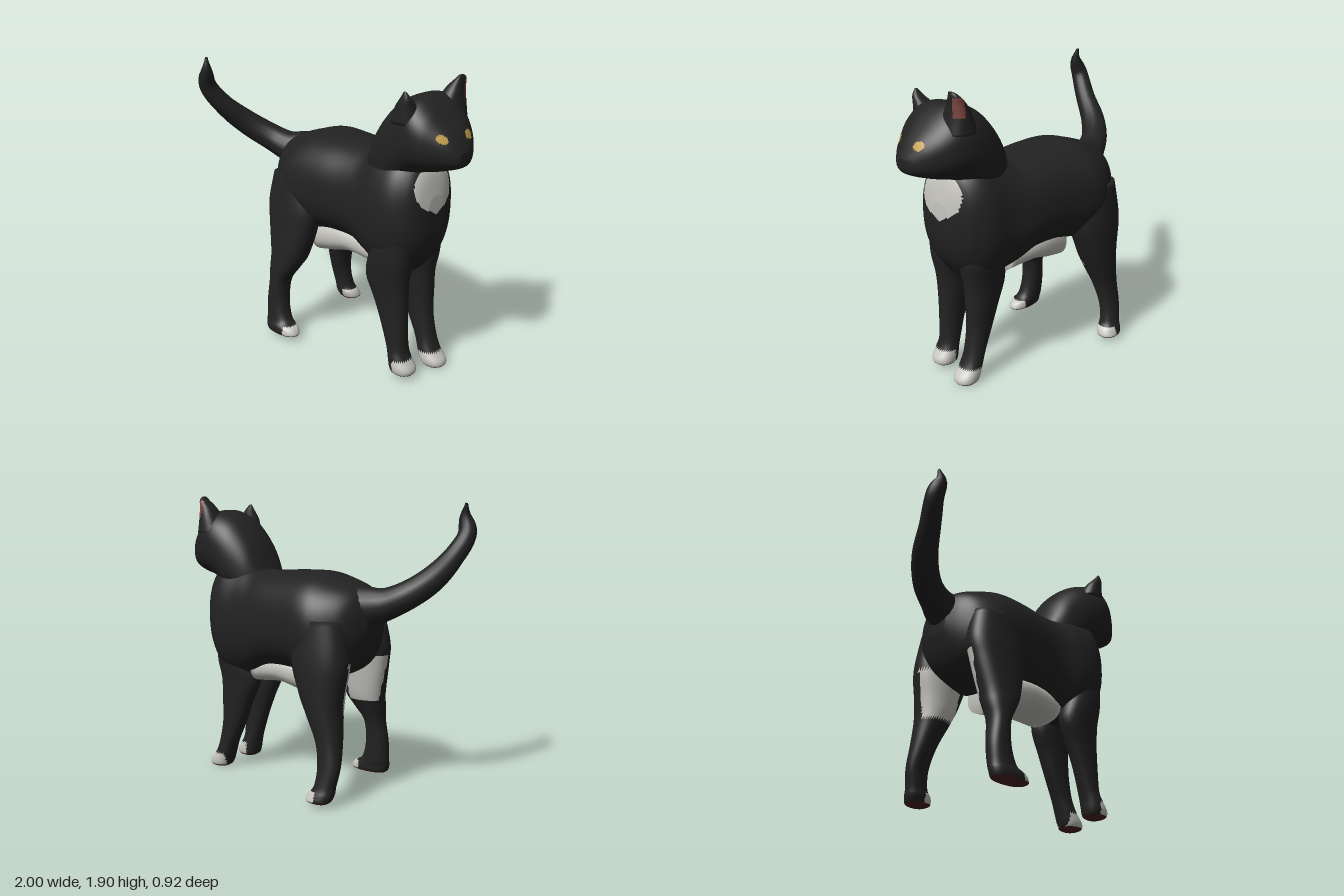
import * as THREE from 'three';

const mat = (name, color) => {
  const m = new THREE.MeshStandardMaterial({ color });
  m.name = name;
  return m;
};

// Catmull-Rom blend of the rows of a section table, at row position t
function rowAt(rows, t) {
  const i = Math.min(Math.floor(t), rows.length - 2), f = t - i;
  const at = k => rows[Math.max(0, Math.min(rows.length - 1, k))];
  const [a, b, c, d] = [at(i - 1), at(i), at(i + 1), at(i + 2)];
  return b.map((_, k) => 0.5 * (2 * b[k] + (c[k] - a[k]) * f
    + (2 * a[k] - 5 * b[k] + 4 * c[k] - d[k]) * f * f
    + (3 * b[k] - a[k] - 3 * c[k] + d[k]) * f * f * f));
}

// Skin over rounded sections along x: [x, y0, y1, z0, z1] or y: [y, x0, x1, z0, z1], ascending.
// paint(x, y, z) gives the index of the material for each face.
function loft(name, rows, axis, materials, paint = () => 0, { around = 32, steps = 4, power = 2.3 } = {}) {
  const pos = [], n = (rows.length - 1) * steps;
  const put = (s, p, z) => (axis === 'x' ? pos.push(s, p, z) : pos.push(p, s, z));
  const round = v => Math.sign(v) * Math.abs(v) ** (2 / power);
  for (let i = 0; i <= n; i++) {
    const [s, p0, p1, z0, z1] = rowAt(rows, i / steps);
    for (let j = 0; j < around; j++) {
      const t = j / around * Math.PI * 2;
      const c = round(Math.cos(t)), d = round(Math.sin(t));
      const [u, v] = axis === 'x' ? [d, c] : [c, d];
      put(s, (p0 + p1) / 2 + u * (p1 - p0) / 2, (z0 + z1) / 2 + v * (z1 - z0) / 2);
    }
  }
  const ends = [rows[0], rows[rows.length - 1]];
  ends.forEach(([s, p0, p1, z0, z1]) => put(s, (p0 + p1) / 2, (z0 + z1) / 2));

  const lists = materials.map(() => []);
  const face = (...f) => {
    const mid = k => f.reduce((sum, q) => sum + pos[q * 3 + k], 0) / 3;
    lists[paint(mid(0), mid(1), mid(2))].push(...f);
  };
  const first = (n + 1) * around, last = n * around;
  for (let j = 0; j < around; j++) {
    const k = (j + 1) % around;
    for (let i = 0; i < n; i++) {
      const a = i * around + j, b = i * around + k;
      face(a, a + around, b);
      face(b, a + around, b + around);
    }
    face(first, j, k);
    face(first + 1, last + k, last + j);
  }
  const g = new THREE.BufferGeometry();
  g.setAttribute('position', new THREE.Float32BufferAttribute(pos, 3));
  g.setIndex(lists.flat());
  let start = 0;
  lists.forEach((l, m) => {
    if (l.length) g.addGroup(start, l.length, m);
    start += l.length;
  });
  g.computeVertexNormals();
  const mesh = new THREE.Mesh(g, materials);
  mesh.name = name;
  return mesh;
}

export function createModel() {
  const black = mat('black fur', 0x222222), white = mat('white fur', 0xc6c5bf);
  const amber = mat('amber eye', 0xc09a45), pad = mat('paw pad', 0x4a2222), pink = mat('inner ear', 0x7a423c);
  const cat = new THREE.Group();
  cat.name = 'cat';
  const inOval = (z, y, cz, cy, rz, ry) => ((z - cz) / rz) ** 2 + ((y - cy) / ry) ** 2 < 1;
  const bib = (x, y, z) => x > 0.58 && y < 1.37 && inOval(z, y, 0.055, 1.25, 0.165, 0.14);

  // Torso from rump to chest
  cat.add(loft('body', [
    [-0.54, 1.04, 1.19, -0.13, 0.03], [-0.5, 0.92, 1.3, -0.23, 0.14], [-0.43, 0.82, 1.355, -0.32, 0.24],
    [-0.3, 0.76, 1.4, -0.39, 0.31], [-0.18, 0.75, 1.43, -0.4, 0.32], [0, 0.78, 1.43, -0.36, 0.31],
    [0.2, 0.77, 1.42, -0.32, 0.29], [0.33, 0.71, 1.42, -0.29, 0.3], [0.45, 0.67, 1.46, -0.26, 0.33],
    [0.6, 0.67, 1.48, -0.24, 0.33], [0.7, 0.77, 1.43, -0.18, 0.28], [0.75, 0.87, 1.34, -0.1, 0.22],
    [0.775, 0.97, 1.2, -0.02, 0.13],
  ], 'x', [black, white], (x, y, z) => (bib(x, y, z) ? 1 : 0), { around: 72, steps: 6 }));

  // Pale hanging belly
  cat.add(loft('belly', [
    [-0.16, 0.6, 0.85, -0.16, 0.18], [0, 0.635, 0.88, -0.19, 0.19],
    [0.15, 0.67, 0.88, -0.19, 0.19], [0.37, 0.65, 0.85, -0.15, 0.18],
  ], 'x', [white]));

  // Neck and head with painted eyes
  const eye = (x, y, z) => x > 0.8
    && (inOval(z, y, 0.21, 1.6, 0.027, 0.025) || inOval(z, y, 0.008, 1.6, 0.036, 0.026));
  cat.add(loft('head', [
    [0.32, 1.2, 1.41, -0.09, 0.18], [0.41, 1.15, 1.6, -0.16, 0.24], [0.53, 1.2, 1.74, -0.2, 0.28],
    [0.64, 1.3, 1.8, -0.21, 0.3], [0.73, 1.35, 1.81, -0.2, 0.31], [0.81, 1.37, 1.76, -0.17, 0.295],
    [0.88, 1.39, 1.69, -0.12, 0.255], [0.94, 1.41, 1.62, -0.055, 0.21], [0.98, 1.43, 1.55, 0.01, 0.17],
    [0.995, 1.46, 1.52, 0.06, 0.14],
  ], 'x', [black, white, amber], (x, y, z) => (eye(x, y, z) ? 2 : bib(x, y, z) ? 1 : 0),
  { around: 100, steps: 8, power: 2.4 }));

  // Ears, the right one showing its lining
  cat.add(loft('leftEar', [
    [1.66, 0.58, 0.77, 0.12, 0.31], [1.75, 0.62, 0.75, 0.19, 0.31],
    [1.81, 0.67, 0.74, 0.25, 0.305], [1.85, 0.7, 0.715, 0.285, 0.295],
  ], 'y', [black]));
  cat.add(loft('rightEar', [
    [1.66, 0.62, 0.83, -0.2, 0.02], [1.76, 0.67, 0.81, -0.19, -0.01],
    [1.83, 0.71, 0.805, -0.175, -0.05], [1.88, 0.76, 0.805, -0.16, -0.08], [1.902, 0.785, 0.8, -0.13, -0.09],
  ], 'y', [black, pink], (x, y, z) => (y > 1.76 && y < 1.875 && x > 0.755 && z < -0.13 ? 1 : 0), { steps: 6 }));

  // Front legs: same sections, the right one set a little forward and lower
  const frontLeg = (name, dx, dz, ground) => cat.add(loft(name, [
    [ground, 0.6, 0.71, 0.135, 0.24], [ground + 0.015, 0.58, 0.735, 0.115, 0.26],
    [ground + 0.05, 0.57, 0.735, 0.11, 0.27], [ground + 0.11, 0.56, 0.695, 0.115, 0.265],
    [0.2, 0.54, 0.675, 0.12, 0.255], [0.35, 0.49, 0.67, 0.12, 0.26], [0.5, 0.43, 0.67, 0.11, 0.27],
    [0.65, 0.37, 0.675, 0.1, 0.29], [0.8, 0.4, 0.7, 0.08, 0.31], [1, 0.45, 0.7, 0.09, 0.31],
  ].map(([y, x0, x1, z0, z1]) => [y, x0 + dx * Math.max(0, 1 - y * 3), x1 + dx * Math.max(0, 1 - y * 3), z0 + dz, z1 + dz]),
  'y', [black, white, pad], (x, y) => (y < ground + 0.016 ? 2 : y < ground + 0.1 && x > 0.63 ? 1 : 0)));
  frontLeg('leftFrontLeg', 0, 0, 0.025);
  frontLeg('rightFrontLeg', 0.05, -0.255, 0);

  // Hind legs with pale inner thighs, toes and dark pads
  const hindLeg = (name, rows, toe, inner) => cat.add(loft(name, rows, 'y', [black, white, pad], (x, y, z) => {
    if (y < rows[0][0] + 0.016) return 2;
    if (y < 0.1 && x > toe) return 1;
    return y > 0.56 && y < 0.88 && x < -0.22 && inner(z) ? 1 : 0;
  }, { around: 48, steps: 6 }));
  hindLeg('leftHindLeg', [
    [0.03, -0.4, -0.18, 0.3, 0.4], [0.045, -0.42, -0.15, 0.28, 0.42], [0.085, -0.43, -0.17, 0.275, 0.42],
    [0.13, -0.43, -0.24, 0.27, 0.405], [0.25, -0.43, -0.275, 0.26, 0.395], [0.4, -0.41, -0.27, 0.24, 0.39],
    [0.5, -0.42, -0.21, 0.2, 0.385], [0.6, -0.43, -0.15, 0.16, 0.375], [0.8, -0.47, -0.09, 0.12, 0.355],
    [0.95, -0.49, -0.07, 0.1, 0.34], [1.15, -0.45, -0.13, 0.1, 0.31],
  ], -0.23, z => z < 0.23);
  hindLeg('rightHindLeg', [
    [0.025, -0.42, -0.3, -0.44, -0.34], [0.04, -0.44, -0.275, -0.46, -0.325], [0.08, -0.455, -0.285, -0.45, -0.31],
    [0.13, -0.46, -0.32, -0.43, -0.31], [0.25, -0.48, -0.33, -0.41, -0.29], [0.4, -0.47, -0.3, -0.4, -0.24],
    [0.57, -0.455, -0.22, -0.41, -0.19], [0.7, -0.465, -0.16, -0.415, -0.17], [0.9, -0.49, -0.1, -0.415, -0.15],
    [1.15, -0.45, -0.13, -0.39, -0.15],
  ], -0.36, z => z > -0.27);

  // Tail: a tube swept up and to the side, with its rings thickened by a table
  const path = new THREE.CatmullRomCurve3([
    [-0.38, 1.22, -0.09], [-0.56, 1.23, -0.01], [-0.7, 1.29, 0.05], [-0.82, 1.39, 0.16],
    [-0.9, 1.53, 0.3], [-0.945, 1.67, 0.39], [-0.92, 1.78, 0.41], [-0.93, 1.86, 0.4],
  ].map(p => new THREE.Vector3(...p)));
  const radii = [[0.13], [0.125], [0.1], [0.09], [0.085], [0.078], [0.068], [0.062], [0.05], [0.008]];
  const rings = 48, sides = 16;
  const tailShape = new THREE.TubeGeometry(path, rings, 1, sides);
  const p = tailShape.attributes.position, v = new THREE.Vector3();
  for (let i = 0; i <= rings; i++) {
    const c = path.getPointAt(i / rings), r = rowAt(radii, i / rings * (radii.length - 1))[0];
    for (let j = 0; j <= sides; j++) {
      const k = i * (sides + 1) + j;
      v.fromBufferAttribute(p, k).sub(c).multiplyScalar(r).add(c);
      p.setXYZ(k, v.x, v.y, v.z);
    }
  }
  const tail = new THREE.Mesh(tailShape, black);
  tail.name = 'tail';
  cat.add(tail);
  return cat;
}
